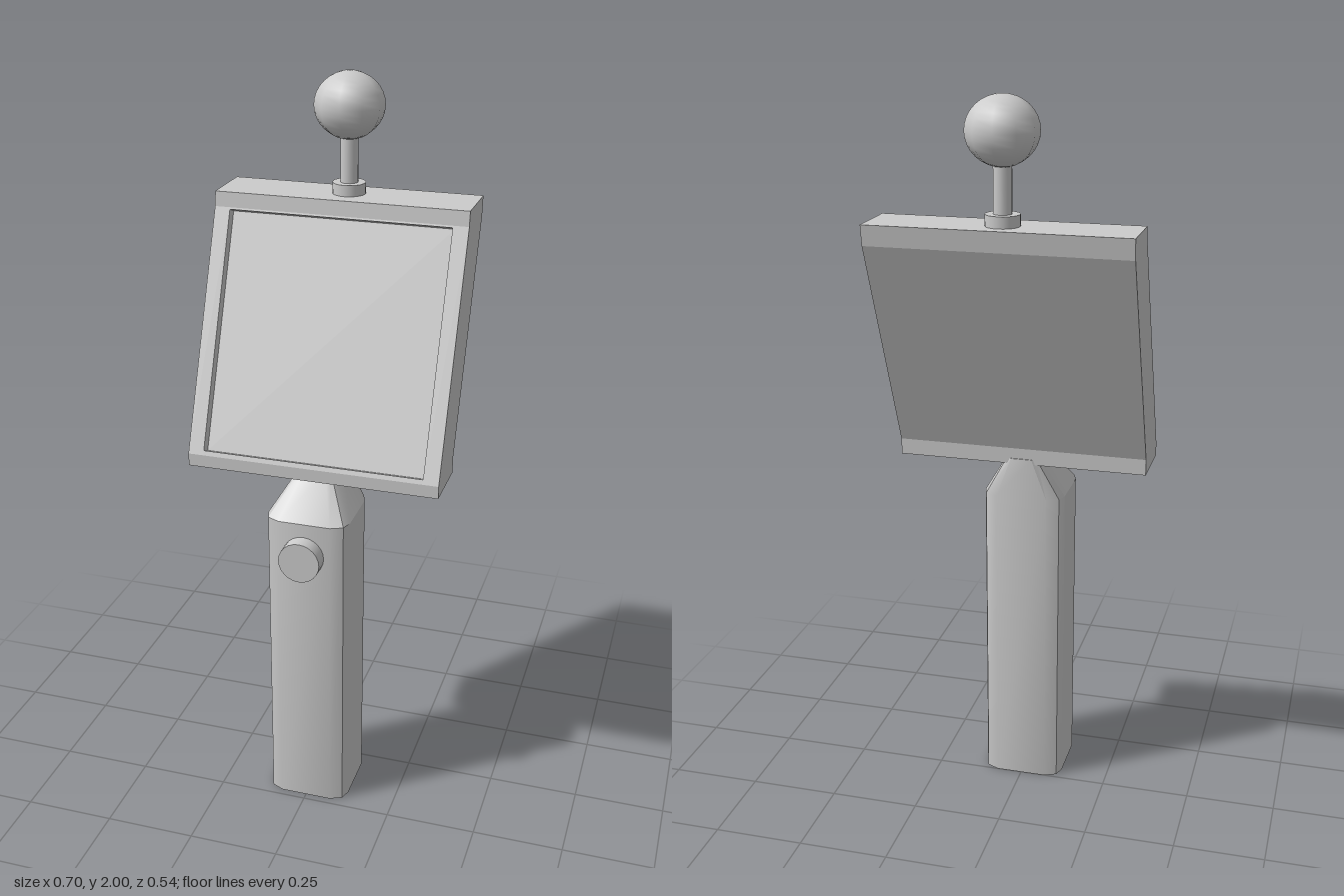
import * as THREE from 'three';
import { toCreasedNormals } from 'three/addons/utils/BufferGeometryUtils.js';

const material = new THREE.MeshStandardMaterial({ color: 0xcccccc });

function part(name, geometry, x = 0, y = 0, z = 0) {
  const mesh = new THREE.Mesh(geometry, material);
  mesh.name = name;
  mesh.position.set(x, y, z);
  return mesh;
}

// Extrudes a side profile of [z, y] points from x0 to x1
function sideExtrude(points, x0, x1) {
  const shape = new THREE.Shape(points.map(([z, y]) => new THREE.Vector2(-z, y)));
  return new THREE.ExtrudeGeometry(shape, { depth: x1 - x0, bevelEnabled: false })
    .rotateY(Math.PI / 2).translate(x0, 0, 0);
}

// Square post with rounded corners, tapering to a narrow neck at the back
function handleGeometry() {
  const half = 0.115;
  const corner = [[0.115, 0.07], [0.105, 0.1], [0.072, 0.115]];
  const ring = [];
  for (const [sx, sz] of [[1, 1], [-1, 1], [-1, -1], [1, -1]]) {
    const points = sx * sz > 0 ? corner : [...corner].reverse();
    for (const [x, z] of points) ring.push([sx * x, sz * z + half]);
  }
  // Each level: height, width scale, depth scale measured from the back face
  const levels = [[0, 1, 1], [0.885, 1, 1], [1.0, 0.4, 0.57]];
  const n = ring.length;
  const positions = [];
  const index = [];
  for (const [y, sx, sz] of levels) {
    for (const [x, z] of ring) positions.push(x * sx, y, z * sz);
  }
  for (let l = 0; l < levels.length - 1; l++) {
    for (let i = 0; i < n; i++) {
      const a = l * n + i, b = l * n + (i + 1) % n;
      index.push(a, a + n, b, b, a + n, b + n);
    }
  }
  // End caps
  const top = (levels.length - 1) * n;
  for (let i = 1; i < n - 1; i++) {
    index.push(0, i, i + 1, top, top + i + 1, top + i);
  }
  const geometry = new THREE.BufferGeometry();
  geometry.setAttribute('position', new THREE.Float32BufferAttribute(positions, 3));
  geometry.setIndex(index);
  return toCreasedNormals(geometry, 0.5);
}

export function createModel() {
  const model = new THREE.Group();
  model.name = 'handheldDevice';

  // Handle and its round button
  model.add(part('handle', handleGeometry()));
  model.add(part('button',
    new THREE.CylinderGeometry(0.057, 0.057, 0.06, 24).rotateX(Math.PI / 2), -0.002, 0.79, 0.242));

  // Leaning head: two side rails and a centre with a shallow screen recess
  const head = new THREE.Group();
  head.name = 'head';
  const back = [[-0.255, 1.68], [-0.247, 1.625], [0.002, 1.03], [0.003, 0.985]];
  const front = [[0.17, 0.985], [0.17, 1.02], [-0.085, 1.64], [-0.09, 1.68]];
  const recess = [[0.165, 1.032], [0.137, 1.0205], [-0.111, 1.6235], [-0.083, 1.635]];
  const notched = [...front.slice(0, 2), ...recess, ...front.slice(2)];
  head.add(part('screenPanel', sideExtrude([...back, ...notched], -0.305, 0.305)));
  head.add(part('rightRail', sideExtrude([...back, ...front], -0.348, -0.305)));
  head.add(part('leftRail', sideExtrude([...back, ...front], 0.305, 0.348)));
  model.add(head);

  // Antenna: collar, stem and ball
  const z = -0.178;
  model.add(part('antennaCollar', new THREE.CylinderGeometry(0.045, 0.045, 0.04, 20), 0, 1.69, z));
  model.add(part('antennaStem', new THREE.CylinderGeometry(0.024, 0.024, 0.17, 16), 0, 1.77, z));
  const ball = new THREE.SphereGeometry(0.094, 10, 16).rotateY(Math.PI / 2).scale(1, 0.94, 1);
  model.add(part('antennaBall', ball, 0, 1.912, z));

  return model;
}
